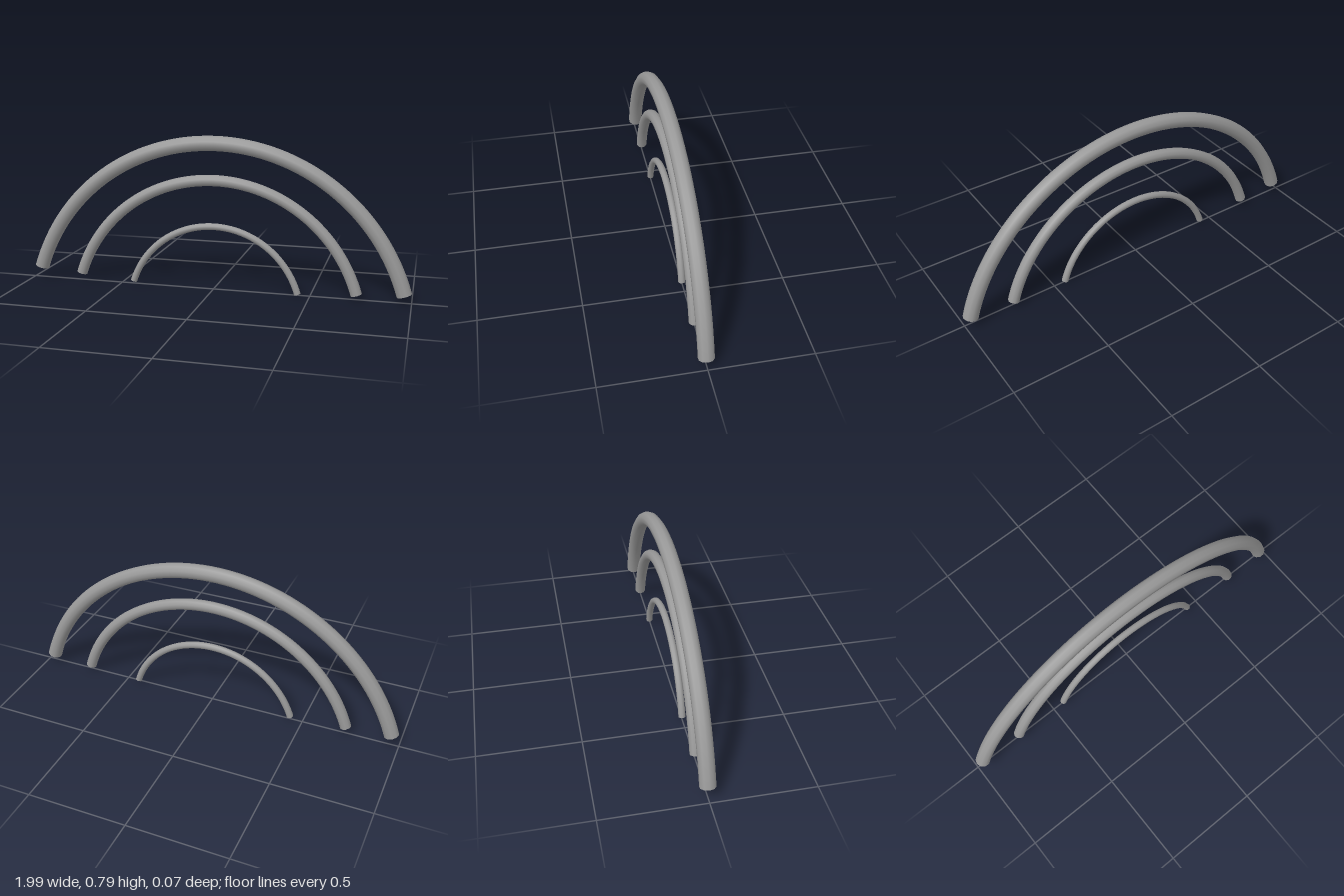
import * as THREE from 'three';

const START = THREE.MathUtils.degToRad(16.7);
const END = THREE.MathUtils.degToRad(180 - 17.9);
const SIDES = 10;

// One bent tube with closed ends, its circle centred at height cy
function makeArch(name, radius, tube, cy, material) {
  const arch = new THREE.Group();
  arch.name = name;
  arch.position.y = cy;

  const bendGeometry = new THREE.TorusGeometry(radius, tube, SIDES, 64, END - START);
  bendGeometry.rotateZ(START);
  const bend = new THREE.Mesh(bendGeometry, material);
  bend.name = name + 'Tube';
  arch.add(bend);

  // Flat end caps, facing away from the tube
  for (const [side, angle, turn] of [['left', START, 1], ['right', END, -1]]) {
    const capGeometry = new THREE.CircleGeometry(tube, SIDES);
    capGeometry.rotateX(turn * Math.PI / 2);
    capGeometry.translate(radius, 0, 0);
    capGeometry.rotateZ(angle);
    const cap = new THREE.Mesh(capGeometry, material);
    cap.name = side + 'EndCap';
    arch.add(cap);
  }
  return arch;
}

export function createModel() {
  const model = new THREE.Group();
  model.name = 'nestedArches';
  const grey = new THREE.MeshStandardMaterial({ color: 0x999999 });
  grey.name = 'grey';

  // Three concentric-looking arches, thicker toward the outside
  model.add(makeArch('outerArch', 1.006, 0.0385, -0.25, grey));
  model.add(makeArch('middleArch', 0.763, 0.029, -0.195, grey));
  model.add(makeArch('innerArch', 0.456, 0.0175, -0.126, grey));
  return model;
}
